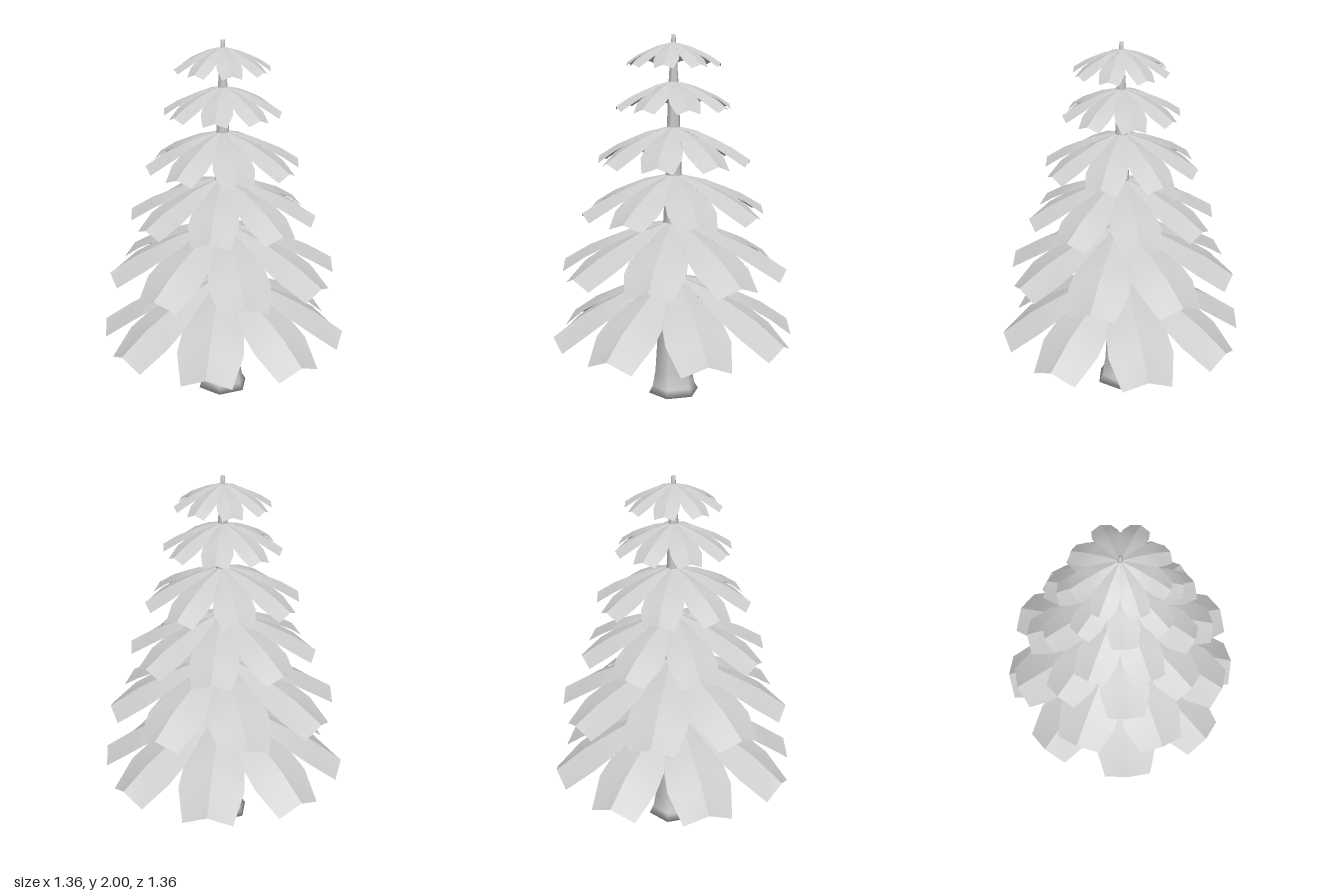
import * as THREE from 'three';

const bark = new THREE.MeshStandardMaterial({ color: 0xcccccc });
const foliage = new THREE.MeshStandardMaterial({ color: 0xcccccc, side: THREE.DoubleSide });

// Frond cross-sections as fractions of tier radius and drop:
// [spine r, spine drop, edge r, edge drop, half width]
const SECTIONS = [
  [0.36, 0.19, 0.30, 0.23, 0.124],
  [0.58, 0.38, 0.59, 0.51, 0.244],
  [0.765, 0.55, 0.74, 0.68, 0.26],
  [1.0, 0.85, 0.962, 1.0, 0.197],
];

// One half of a frond, from the ridge out to its side edge (side = +1 or -1)
function halfFrond(radius, drop, side) {
  const points = [0, 0, 0];
  for (const [sr, sd, er, ed, w] of SECTIONS) {
    points.push(sr * radius, -sd * drop, 0);
    points.push(er * radius, -ed * drop, side * w * radius);
  }
  const index = [];
  const face = (a, b, c) => index.push(...(side > 0 ? [a, c, b] : [a, b, c]));
  face(0, 1, 2);
  for (let i = 1; i < SECTIONS.length * 2 - 1; i += 2) {
    face(i, i + 2, i + 3);
    face(i, i + 3, i + 1);
  }
  const geometry = new THREE.BufferGeometry();
  geometry.setAttribute('position', new THREE.Float32BufferAttribute(points, 3));
  geometry.setIndex(index);
  geometry.computeVertexNormals();
  return geometry;
}

// A ring of eight drooping, ridged fronds meeting at the trunk
function makeTier(apex, radius, drop, turn) {
  const tier = new THREE.Group();
  tier.name = 'branchTier';
  const halves = [1, -1].map((side) => halfFrond(radius, drop, side));
  for (let k = 0; k < 8; k++) {
    const frond = new THREE.Group();
    frond.name = 'frond';
    for (const geometry of halves) {
      const half = new THREE.Mesh(geometry, foliage);
      half.name = 'frondHalf';
      frond.add(half);
    }
    frond.rotation.y = turn + (k * Math.PI) / 4;
    tier.add(frond);
  }
  tier.position.y = apex;
  return tier;
}

export function createModel() {
  const tree = new THREE.Group();
  tree.name = 'tree';

  // Six-sided trunk, flared at the foot and tapering to the top
  const profile = [
    [0, 0], [0.145, 0], [0.122, 0.04], [0.106, 0.13], [0.095, 0.3], [0.076, 0.69],
    [0.058, 1.0], [0.046, 1.26], [0.037, 1.52], [0.027, 1.76], [0.013, 1.96], [0.012, 2], [0, 2],
  ].map(([r, y]) => new THREE.Vector2(r, y));
  const trunk = new THREE.Mesh(new THREE.LatheGeometry(profile, 6), bark);
  trunk.name = 'trunk';
  tree.add(trunk);

  // Tiers: apex height, radius, drop; every second one is turned
  const tiers = [
    [0.69, 0.68, 0.37], [1.0, 0.63, 0.3], [1.26, 0.51, 0.24],
    [1.52, 0.42, 0.21], [1.76, 0.317, 0.157], [1.965, 0.257, 0.13],
  ];
  tiers.forEach(([apex, radius, drop], i) => {
    tree.add(makeTier(apex, radius, drop, i % 2 ? THREE.MathUtils.degToRad(18.4) : 0));
  });
  return tree;
}
